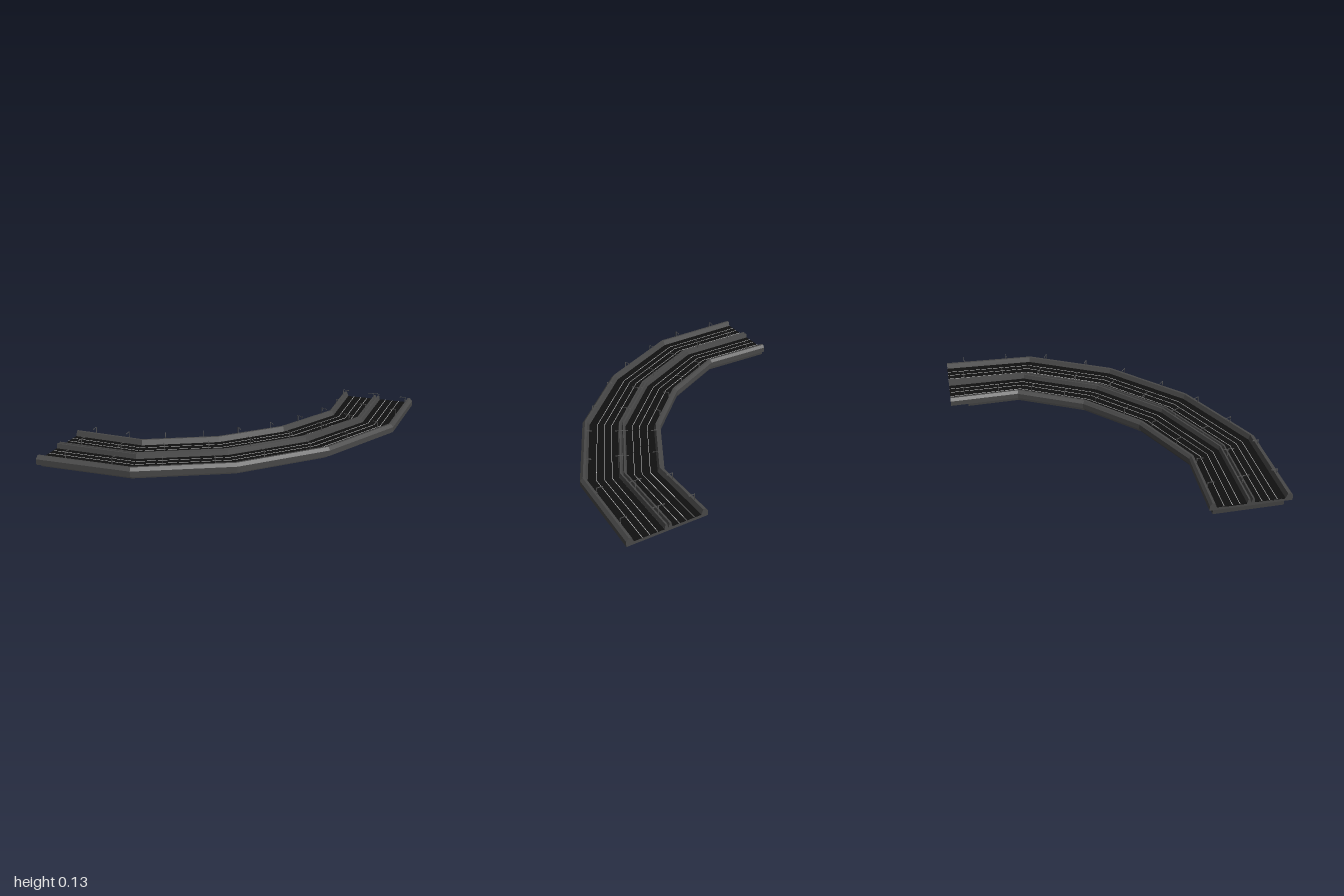
import * as THREE from 'three';

// Inner and outer edge of the bend as [x, z] stations
const half = { inner: [[-1, 0.465], [-0.52, 0.475], [-0.08, 0.25]], outer: [[-1, 0.995], [-0.36, 0.975], [0.22, 0.68]] };
const mirrored = (p) => [...p, ...p.slice().reverse().map(([x, z]) => [z, x])];
const inner = mirrored(half.inner);
const outer = mirrored(half.outer);
outer[5] = [1, -1];

const concrete = new THREE.MeshStandardMaterial({ color: 0x484848, flatShading: true });
const support = new THREE.MeshStandardMaterial({ color: 0x404040, flatShading: true });
const asphalt = new THREE.MeshStandardMaterial({ color: 0x101010, flatShading: true });
const paint = new THREE.MeshStandardMaterial({ color: 0xcccccc });
const metal = new THREE.MeshStandardMaterial({ color: 0x555555 });

// t runs from the inner edge (0) to the outer edge (1)
const across = (i, t, y) => new THREE.Vector3(
  THREE.MathUtils.lerp(inner[i][0], outer[i][0], t), y,
  THREE.MathUtils.lerp(inner[i][1], outer[i][1], t));

// Sweeps a counter-clockwise [t, y] profile through all stations and caps the ends
function sweep(name, profile, material, adjust = (p) => p) {
  const last = inner.length - 1;
  const rings = inner.map((_, i) => profile.map(([t, y]) => adjust(across(i, t, y), i, t)));
  const tris = [];
  for (let i = 0; i < last; i++) {
    profile.forEach((_, j) => {
      const k = (j + 1) % profile.length;
      const [a, b, c, d] = [rings[i][j], rings[i][k], rings[i + 1][k], rings[i + 1][j]];
      tris.push(a, c, b, a, d, c);
    });
  }
  const flat = profile.map(([t, y]) => new THREE.Vector2(t, y));
  for (const [a, b, c] of THREE.ShapeUtils.triangulateShape(flat, [])) {
    tris.push(rings[0][a], rings[0][b], rings[0][c]);
    tris.push(rings[last][a], rings[last][c], rings[last][b]);
  }
  const geometry = new THREE.BufferGeometry().setFromPoints(tris);
  geometry.computeVertexNormals();
  const mesh = new THREE.Mesh(geometry, material);
  mesh.name = name;
  return mesh;
}

const slab = (t0, t1, y0, y1) => [[t0, y0], [t1, y0], [t1, y1], [t0, y1]];

// A thin lamp post with arms reaching across the road on the given sides
function lampPost(name, base, direction, sides) {
  const post = new THREE.Group();
  post.name = name;
  const pole = new THREE.Mesh(new THREE.BoxGeometry(0.004, 0.06, 0.004), metal);
  pole.position.y = 0.03;
  pole.name = 'pole';
  post.add(pole);
  for (const side of sides) {
    const arm = new THREE.Mesh(new THREE.BoxGeometry(0.003, 0.003, 0.04), metal);
    arm.position.set(0, 0.0585, side * 0.02);
    arm.name = 'arm';
    const lamp = new THREE.Mesh(new THREE.BoxGeometry(0.005, 0.003, 0.012), metal);
    lamp.position.set(0, 0.056, side * 0.036);
    lamp.name = 'lamp';
    post.add(arm, lamp);
  }
  post.position.copy(base);
  post.rotation.y = Math.atan2(direction.x, direction.z);
  return post;
}

export function createModel() {
  const group = new THREE.Group();
  group.name = 'curvedRoad';

  // Support below the deck, stopping short at the back end
  group.add(sweep('support', slab(0.04, 0.9, 0.004, 0.032), support, (p, i, t) => {
    if (i === 5) p.z = THREE.MathUtils.lerp(-0.88, -0.845, t);
    p.y = p.y < 0.01 ? 0 : p.y;
    return p;
  }));

  // Deck with a sloped parapet along both edges
  group.add(sweep('deck', [
    [0, 0.03], [1, 0.03], [1, 0.066], [0.965, 0.085], [0.935, 0.085], [0.91, 0.05],
    [0.085, 0.05], [0.06, 0.085], [0.03, 0.085], [0, 0.066],
  ], concrete));

  // Two carriageways
  group.add(sweep('innerRoad', slab(0.083, 0.446, 0.046, 0.052), asphalt));
  group.add(sweep('outerRoad', slab(0.545, 0.912, 0.046, 0.052), asphalt));

  // Twin median barriers with a dark gap
  for (const t of [0.47, 0.52]) {
    group.add(sweep('medianBarrier', [
      [t - 0.025, 0.048], [t + 0.023, 0.048], [t + 0.01, 0.082], [t - 0.01, 0.082],
    ], concrete));
  }

  // Lane lines
  for (const t of [0.17, 0.27, 0.36, 0.625, 0.72, 0.81]) {
    group.add(sweep('laneLine', slab(t - 0.003, t + 0.003, 0.051, 0.0535), paint));
  }

  // Lamp posts at even steps along the centre line, in three rows
  const centre = inner.map((_, i) => across(i, 0.5, 0));
  const rows = [['innerLampPost', 0.05, [1]], ['medianLampPost', 0.495, [-1, 1]], ['outerLampPost', 0.945, [-1]]];
  for (let n = 0; n < 10; n++) {
    let s = 0.17 + n * 0.282;
    let i = 0;
    while (i < 4 && s > centre[i].distanceTo(centre[i + 1])) s -= centre[i].distanceTo(centre[i + 1]), i++;
    const f = s / centre[i].distanceTo(centre[i + 1]);
    const along = centre[i + 1].clone().sub(centre[i]);
    const outward = new THREE.Vector3(-along.z, 0, along.x);
    for (const [name, t, sides] of rows) {
      const base = across(i, t, 0.07).lerp(across(i + 1, t, 0.07), f);
      group.add(lampPost(name, base, outward, sides));
    }
  }
  return group;
}
